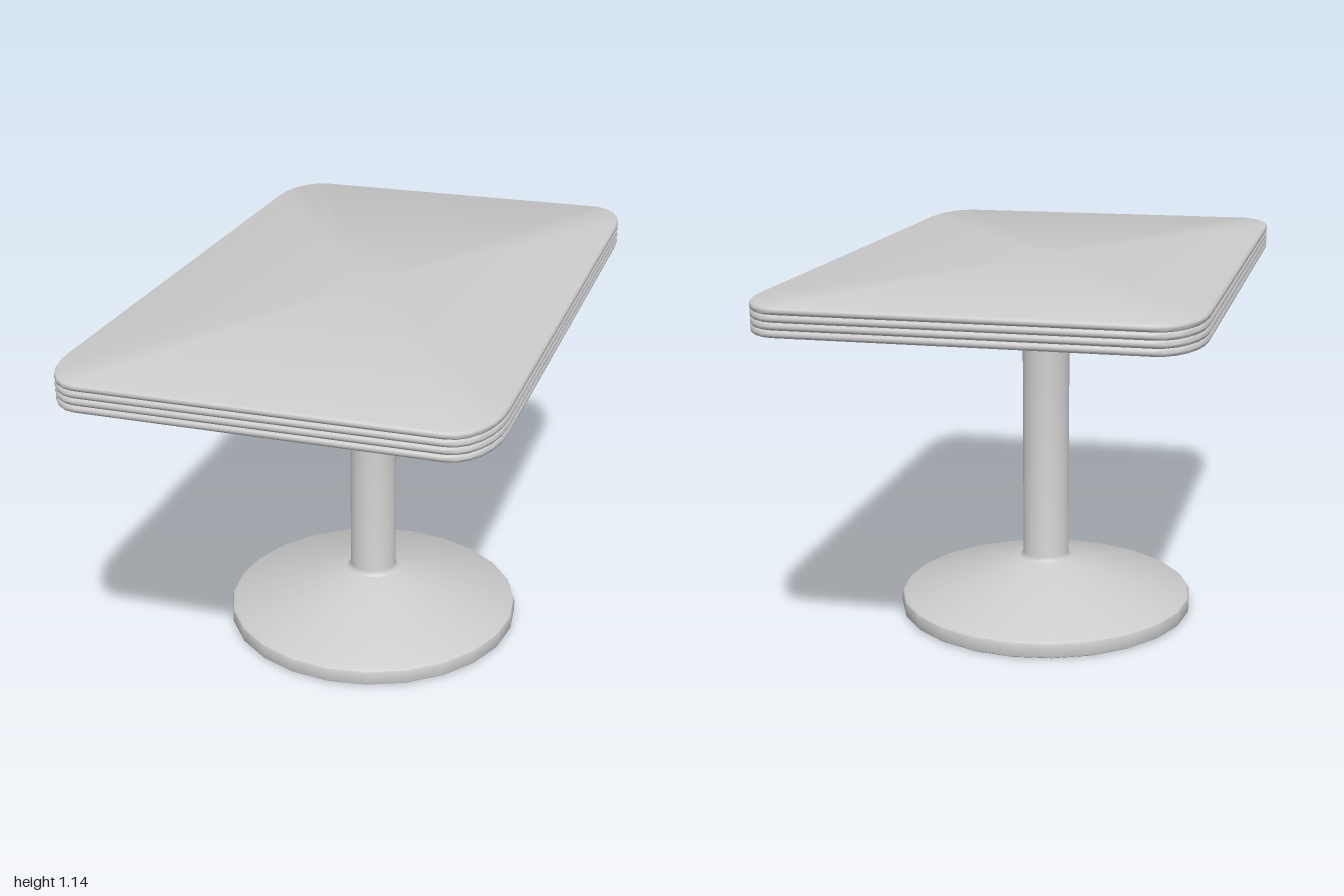
import * as THREE from 'three';
import { toCreasedNormals } from 'three/addons/utils/BufferGeometryUtils.js';

const HALF_X = 0.605, HALF_Z = 1, CORNER_X = 0.115, CORNER_Z = 0.2;
const TOP_BOTTOM = 1.06, TOP_HEIGHT = 0.08;

// Rounded-rectangle slab lofted through a [inset, y] edge profile, bottom to top
function roundedSlab(profile, cornerSteps) {
  const positions = [], index = [];
  const n = 4 * (cornerSteps + 1);
  for (const [inset, y] of profile) {
    for (let q = 0; q < 4; q++) {
      const sx = q === 0 || q === 3 ? 1 : -1;
      const sz = q < 2 ? 1 : -1;
      for (let s = 0; s <= cornerSteps; s++) {
        const a = (q + s / cornerSteps) * Math.PI / 2;
        positions.push(
          sx * (HALF_X - CORNER_X) + (CORNER_X - inset) * Math.cos(a),
          y,
          sz * (HALF_Z - CORNER_Z) + (CORNER_Z - inset) * Math.sin(a));
      }
    }
  }
  const last = (profile.length - 1) * n;
  const low = profile.length * n, high = low + 1;
  positions.push(0, profile[0][1], 0, 0, profile[profile.length - 1][1], 0);
  for (let j = 0; j < n; j++) {
    const k = (j + 1) % n;
    for (let i = 0; i < last; i += n) {
      index.push(i + j, i + n + j, i + k, i + k, i + n + j, i + n + k);
    }
    index.push(low, j, k, high, last + k, last + j);
  }
  const geometry = new THREE.BufferGeometry();
  geometry.setAttribute('position', new THREE.Float32BufferAttribute(positions, 3));
  geometry.setIndex(index);
  return toCreasedNormals(geometry, 0.7);
}

export function createModel() {
  const model = new THREE.Group();
  model.name = 'pedestalTable';
  const material = new THREE.MeshStandardMaterial({ color: 0xcccccc });
  const add = (name, geometry) => {
    const mesh = new THREE.Mesh(geometry, material);
    mesh.name = name;
    model.add(mesh);
  };
  const lathe = (points) => toCreasedNormals(
    new THREE.LatheGeometry(points.map(([x, y]) => new THREE.Vector2(x, y)), 24), 0.6);

  // Tabletop with four rounded beads running round its edge
  const beads = 4, steps = 6, beadHeight = TOP_HEIGHT / beads;
  const edge = [];
  for (let b = 0; b < beads; b++) {
    for (let s = b ? 1 : 0; s <= steps; s++) {
      const a = Math.PI * s / steps;
      edge.push([0.007 * (1 - Math.sin(a)),
        TOP_BOTTOM + beadHeight * (b + (1 - Math.cos(a)) / 2)]);
    }
  }
  add('tabletop', roundedSlab(edge, 6));

  // Column, flaring slightly where it meets the foot
  add('column', lathe([
    [0.085, 0.163], [0.077, 0.169], [0.073, 0.18], [0.073, TOP_BOTTOM + 0.005],
  ]));

  // Conical foot with a softened rim
  add('foot', lathe([
    [0, 0], [0.458, 0], [0.465, 0.004], [0.467, 0.011], [0.467, 0.04],
    [0.464, 0.048], [0.455, 0.054], [0.085, 0.163],
  ]));

  return model;
}
